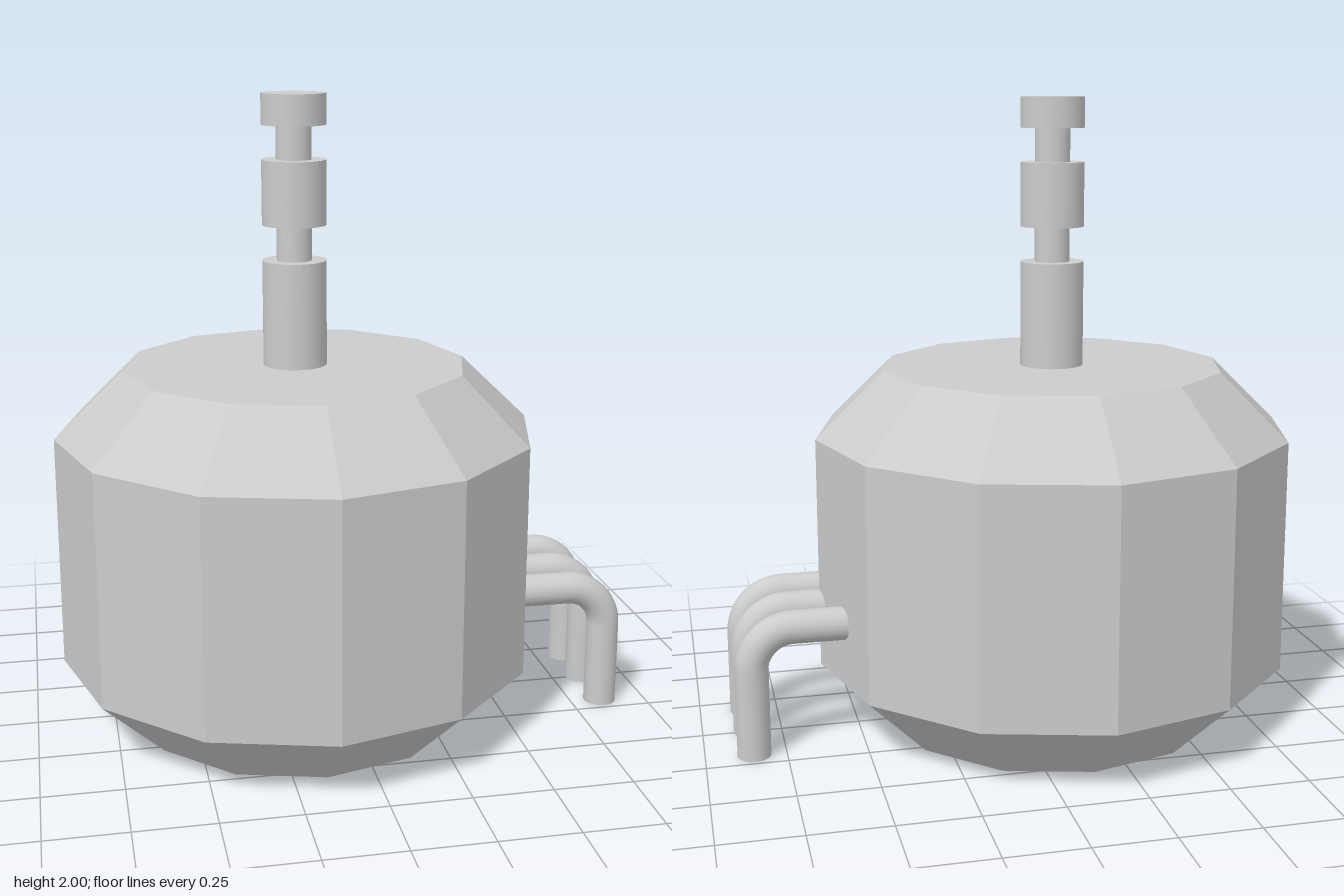
import * as THREE from 'three';

const CX = -0.145; // axis of the tank and stem

export function createModel() {
  const group = new THREE.Group();
  const smooth = new THREE.MeshStandardMaterial({ color: 0xcccccc });
  const flat = new THREE.MeshStandardMaterial({ color: 0xcccccc, flatShading: true });
  const add = (name, geometry, material, x, y, z, parent = group) => {
    const mesh = new THREE.Mesh(geometry, material);
    mesh.name = name;
    mesh.position.set(x, y, z);
    parent.add(mesh);
    return mesh;
  };

  // Twelve-sided tank with chamfered top and bottom
  const profile = [[0, 0], [0.545, 0], [0.762, 0.21], [0.762, 0.95], [0.545, 1.16], [0, 1.16]]
    .map(([r, y]) => new THREE.Vector2(r, y));
  add('tank', new THREE.LatheGeometry(profile, 12), flat, CX, 0, 0);

  // Stem of alternating wide collars and narrow necks
  const stem = new THREE.Group();
  stem.name = 'stem';
  group.add(stem);
  const sections = [
    ['stemBase', 0.1, 1.16, 1.49],
    ['lowerNeck', 0.055, 1.49, 1.6],
    ['middleCollar', 0.1, 1.6, 1.8],
    ['upperNeck', 0.055, 1.8, 1.905],
    ['topCap', 0.1, 1.905, 2],
  ];
  for (const [name, r, y0, y1] of sections) {
    add(name, new THREE.CylinderGeometry(r, r, y1 - y0, 32), smooth, CX, (y0 + y1) / 2, 0, stem);
  }

  // Three spouts: out of the wall, round a bend, down to the ground
  const v = (x, y) => new THREE.Vector3(x, y, 0);
  const bend = 0.13, k = bend * 0.448, top = 0.408, out = 0.85, r = 0.052;
  const path = new THREE.CurvePath();
  path.add(new THREE.LineCurve3(v(0.555, top), v(out - bend, top)));
  path.add(new THREE.CubicBezierCurve3(
    v(out - bend, top), v(out - k, top), v(out, top - k), v(out, top - bend)));
  path.add(new THREE.LineCurve3(v(out, top - bend), v(out, 0)));
  const pipe = new THREE.TubeGeometry(path, 60, r, 20);
  const cap = new THREE.CircleGeometry(r, 20);
  for (const z of [-0.185, 0, 0.185]) {
    const spout = new THREE.Group();
    spout.name = 'spout';
    spout.position.z = z;
    group.add(spout);
    add('spoutPipe', pipe, smooth, 0, 0, 0, spout);
    add('spoutEnd', cap, smooth, out, 0, 0, spout).rotation.x = Math.PI / 2;
    add('spoutRoot', cap, smooth, 0.555, top, 0, spout).rotation.y = -Math.PI / 2;
  }
  return group;
}
